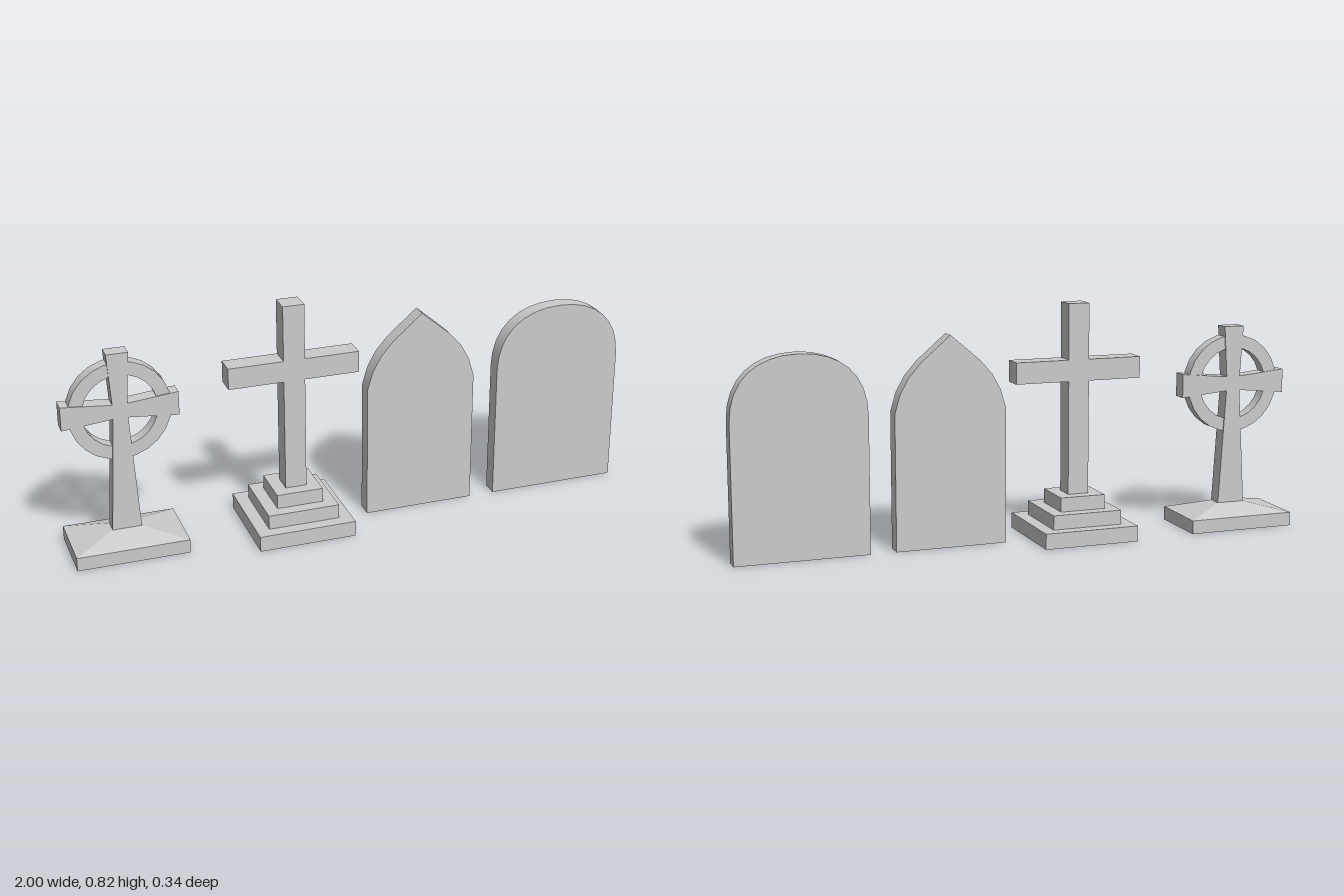
import * as THREE from 'three';
import { toCreasedNormals } from 'three/addons/utils/BufferGeometryUtils.js';

const material = new THREE.MeshStandardMaterial({ color: 0xcccccc });

function addMesh(parent, name, geometry, x = 0, y = 0, z = 0) {
  const mesh = new THREE.Mesh(geometry, material);
  mesh.name = name;
  mesh.position.set(x, y, z);
  parent.add(mesh);
  return mesh;
}

function addGroup(parent, name, x, z) {
  const group = new THREE.Group();
  group.name = name;
  group.position.set(x, 0, z);
  parent.add(group);
  return group;
}

// Box standing on height y
function block(parent, name, w, h, d, y) {
  return addMesh(parent, name, new THREE.BoxGeometry(w, h, d), 0, y + h / 2, 0);
}

// Flat shape extruded symmetrically about z = 0, smooth along its curves
function slab(shape, depth, curveSegments = 8) {
  const geometry = new THREE.ExtrudeGeometry(shape, { depth, bevelEnabled: false, curveSegments });
  geometry.translate(0, 0, -depth / 2);
  return toCreasedNormals(geometry, 0.6);
}

// Closed outline from its right half, listed bottom to top
function mirroredShape(half) {
  const left = half.filter(([x]) => x > 0).map(([x, y]) => [-x, y]).reverse();
  return new THREE.Shape([...half, ...left].map(([x, y]) => new THREE.Vector2(x, y)));
}

function ringedCross(parent) {
  const g = addGroup(parent, 'ringedCross', -0.803, -0.024);
  const depth = 0.054, cy = 0.515;
  block(g, 'ringedCrossBase', 0.388, 0.048, 0.24, 0);

  // Sloping cap that narrows to the foot of the shaft
  const cap = new THREE.BoxGeometry(0.388, 0.034, 0.24);
  const p = cap.attributes.position;
  for (let i = 0; i < p.count; i++) {
    if (p.getY(i) > 0) p.setXY(i, Math.sign(p.getX(i)) * 0.051, 0.017).setZ(i, Math.sign(p.getZ(i)) * depth / 2);
  }
  cap.computeVertexNormals();
  addMesh(g, 'slopingCap', cap, 0, 0.065, 0);

  // Shaft and arms are narrowest where they meet
  const shaft = mirroredShape([[0.052, 0.06], [0.024, cy], [0.037, 0.72]]);
  addMesh(g, 'ringedCrossShaft', slab(shaft, depth));
  const arms = new THREE.Shape([
    [-0.198, -0.042], [0, -0.023], [0.198, -0.042], [0.198, 0.042], [0, 0.023], [-0.198, 0.042],
  ].map(([x, y]) => new THREE.Vector2(x, y)));
  addMesh(g, 'ringedCrossArms', slab(arms, depth), 0, cy, 0);

  const ring = new THREE.Shape().absarc(0, 0, 0.174, 0, Math.PI * 2, false);
  ring.holes.push(new THREE.Path().absarc(0, 0, 0.128, 0, Math.PI * 2, true));
  addMesh(g, 'ring', slab(ring, 0.046, 12), 0, cy, 0);
}

function steppedCross(parent) {
  const g = addGroup(parent, 'steppedCross', -0.214, 0.001);
  [0.342, 0.252, 0.164].forEach((size, i) => {
    block(g, `step${i + 1}`, size, i ? 0.05 : 0.055, size, i ? 0.005 + i * 0.05 : 0);
  });
  block(g, 'steppedCrossShaft', 0.075, 0.668, 0.075, 0.155);
  block(g, 'steppedCrossArms', 0.46, 0.075, 0.075, 0.553);
}

function headstones(parent) {
  const depth = 0.056;
  const pointed = mirroredShape([
    [0.197, 0], [0.197, 0.475], [0.178, 0.54], [0.148, 0.594], [0.105, 0.643], [0, 0.733],
  ]);
  addMesh(parent, 'pointedHeadstone', slab(pointed, depth), 0.247, 0, 0.003);

  const rounded = new THREE.Shape();
  rounded.moveTo(-0.233, 0).lineTo(0.233, 0).lineTo(0.233, 0.475);
  rounded.bezierCurveTo(0.233, 0.62, 0.14, 0.695, 0, 0.695);
  rounded.bezierCurveTo(-0.14, 0.695, -0.233, 0.62, -0.233, 0.475);
  addMesh(parent, 'roundedHeadstone', slab(rounded, depth), 0.767, 0, 0.003);
}

export function createModel() {
  const model = new THREE.Group();
  model.name = 'gravestones';
  ringedCross(model);
  steppedCross(model);
  headstones(model);
  return model;
}
